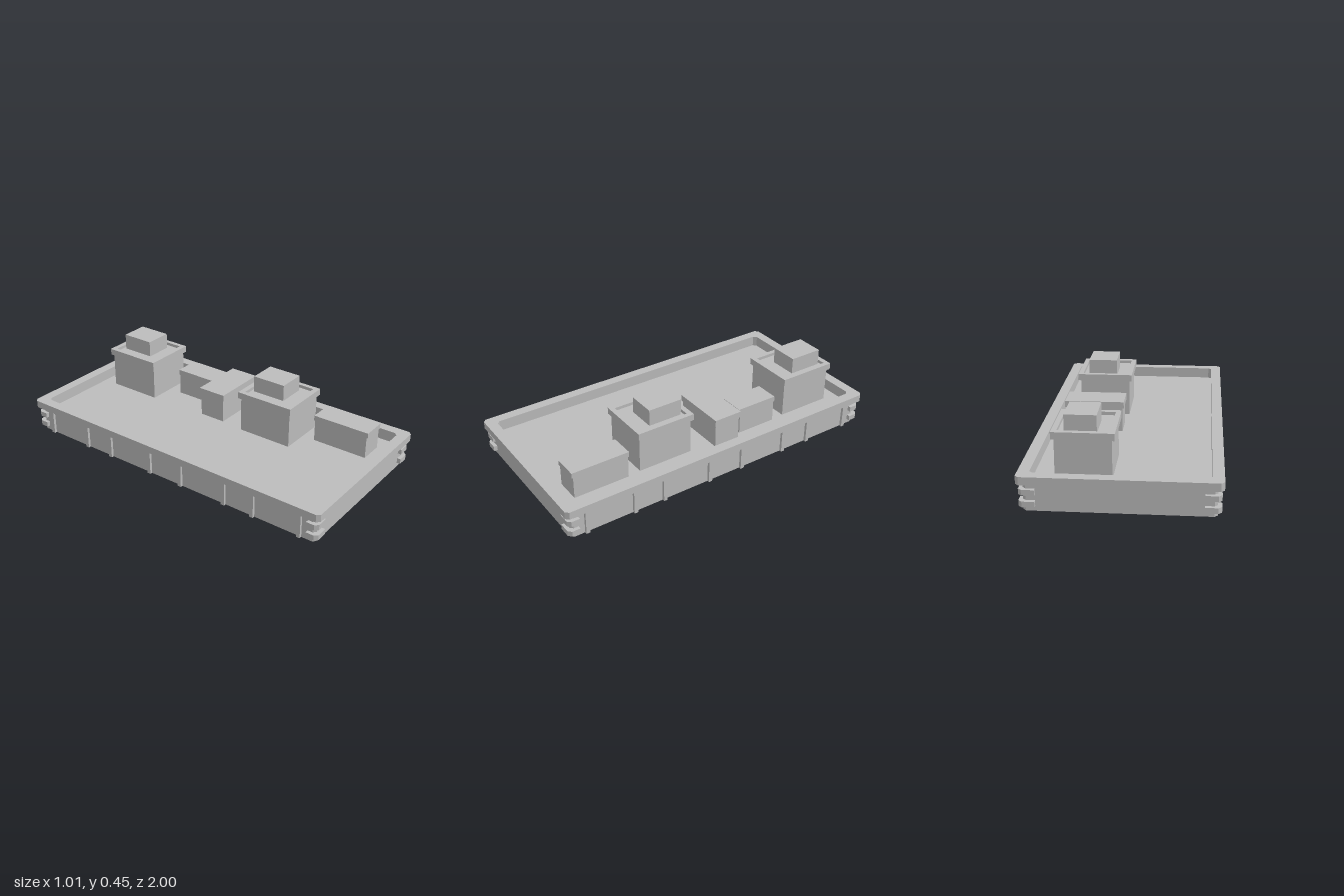
import * as THREE from 'three';

export function createModel() {
  const root = new THREE.Group();
  const concrete = new THREE.MeshStandardMaterial({ color: 0xbcbcbc });
  concrete.name = 'concrete grey';

  function add(geometry, name, parent = root) {
    const mesh = new THREE.Mesh(geometry, concrete);
    mesh.name = name;
    parent.add(mesh);
    return mesh;
  }

  // Box given by its limits on each axis
  function box(name, x0, x1, y0, y1, z0, z1, parent) {
    const g = new THREE.BoxGeometry(x1 - x0, y1 - y0, z1 - z0);
    g.translate((x0 + x1) / 2, (y0 + y1) / 2, (z0 + z1) / 2);
    return add(g, name, parent);
  }

  // Rectangle outline (half sizes) with cut corners
  function outline(hx, hz, c) {
    return [
      [hx, hz - c], [hx - c, hz], [c - hx, hz], [-hx, hz - c],
      [-hx, c - hz], [c - hx, -hz], [hx - c, -hz], [hx, c - hz],
    ].map(([x, z]) => new THREE.Vector2(x, z));
  }

  // Plan outline, with an optional opening, raised from y0 to y1
  function slab(name, points, y0, y1, hole, parent) {
    const shape = new THREE.Shape(points);
    if (hole) shape.holes.push(new THREE.Path(hole));
    const g = new THREE.ExtrudeGeometry(shape, { depth: y1 - y0, bevelEnabled: false });
    g.rotateX(-Math.PI / 2).translate(0, y0, 0);
    return add(g, name, parent);
  }

  // Outer walls, roof deck and parapet
  const inner = outline(0.445, 0.94, 0.018);
  slab('outerWalls', outline(0.475, 0.967, 0.016), 0, 0.15, outline(0.466, 0.958, 0.014));
  slab('roofDeck', outline(0.47, 0.96, 0.016), 0.118, 0.126);
  slab('parapetLining', outline(0.47, 0.96, 0.016), 0.126, 0.15, inner);
  slab('parapetRim', outline(0.505, 1, 0.018), 0.147, 0.19, inner);

  // Pilasters along both long sides
  for (const side of [-1, 1]) {
    for (const z of [0.11, 0.405, 0.59, 0.877]) {
      for (const end of [-1, 1]) {
        const p = box('pilaster', -0.0155, 0.0155, 0, 0.147, -0.011, 0.011);
        p.position.set(side * 0.4745, 0, end * z);
      }
    }
  }

  // Two corner bands wrapping each corner
  const band = [
    [0.413, 0.988], [0.477, 0.988], [0.495, 0.97], [0.495, 0.922],
    [0.46, 0.922], [0.46, 0.952], [0.413, 0.952],
  ];
  for (const sx of [-1, 1]) {
    for (const sz of [-1, 1]) {
      const points = band.map(([x, z]) => new THREE.Vector2(sx * x, sz * z));
      for (const y of [0.026, 0.088]) slab('cornerBand', points, y, y + 0.03);
    }
  }

  // Stair towers: body, hollow-topped cap and plant box
  for (const z of [0.303, -0.687]) {
    const tower = new THREE.Group();
    tower.name = 'stairTower';
    tower.position.set(0.19, 0, z);
    root.add(tower);
    box('towerBody', -0.144, 0.144, 0.115, 0.355, -0.164, 0.164, tower);
    slab('towerCap', outline(0.159, 0.176, 0.001), 0.335, 0.373,
      outline(0.132, 0.146, 0.001), tower);
    box('plantBox', -0.074, 0.09, 0.35, 0.45, -0.131, 0.07, tower).position.x = 0.008;
  }

  // Low roof units with slightly overhanging lids
  const units = [
    [0.2, 0.342, 0.536, 0.876, 0.252, 0.282, 0],
    [0.2, 0.342, -0.447, -0.19, 0.252, 0.282, 0],
    [0.052, 0.385, -0.168, 0.006, 0.265, 0.302, 0.008],
  ];
  for (const [x0, x1, z0, z1, lid, top, inset] of units) {
    box('roofUnitBody', x0 + inset, x1 - inset, 0.115, lid, z0 + 0.007, z1 - 0.007);
    box('roofUnitLid', x0, x1, lid, top, z0, z1);
  }

  return root;
}
